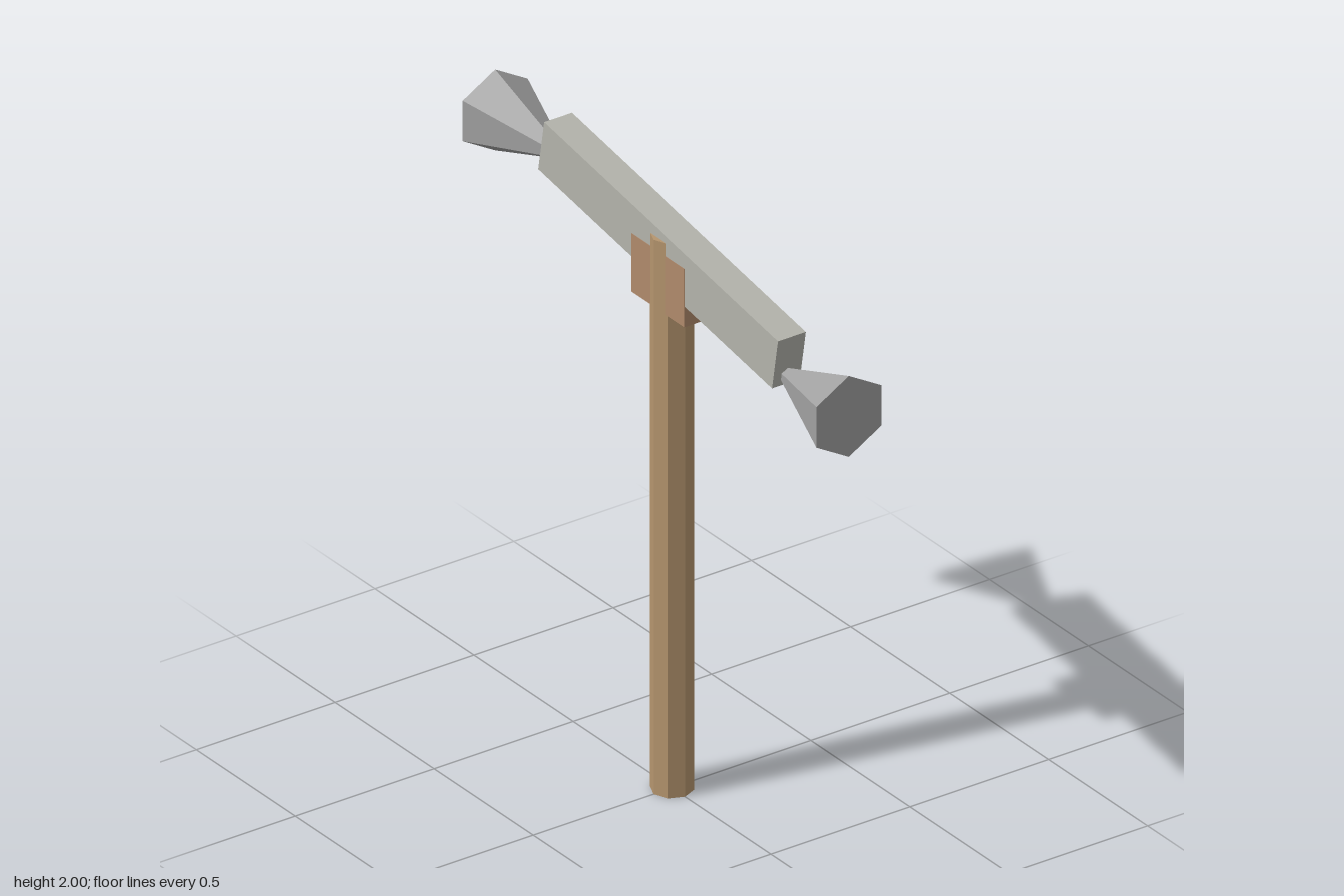
import * as THREE from 'three';

const paint = (color) => new THREE.MeshStandardMaterial({ color, flatShading: true });

export function createModel() {
  const model = new THREE.Group();
  const add = (name, geometry, material, y = 0, z = 0) => {
    const mesh = new THREE.Mesh(geometry, material);
    mesh.name = name;
    mesh.position.set(0, y, z);
    model.add(mesh);
    return mesh;
  };

  // Octagonal wooden shaft
  const shaftHeight = 1.85;
  add('handle', new THREE.CylinderGeometry(0.067, 0.067, shaftHeight, 8), paint(0xb5956e), shaftHeight / 2);

  // Block binding the head to the shaft, a hair proud of the bar
  add('collar', new THREE.BoxGeometry(0.102, 0.195, 0.27), paint(0xb08a6c), 1.71);

  // Tilted bar, lower at the front
  const bar = add('headBar', new THREE.BoxGeometry(0.1, 0.173, 1.2), paint(0xb4b4ac), 1.793);
  bar.rotation.x = THREE.MathUtils.degToRad(10);

  // Hexagonal cones with their tips sunk into the bar ends
  const coneMaterial = paint(0xa0a0a0);
  const coneLength = 0.38;
  for (const [name, side, y] of [['frontCone', 1, 1.635], ['backCone', -1, 1.867]]) {
    const cone = new THREE.ConeGeometry(0.135, coneLength, 6);
    cone.rotateX(-side * Math.PI / 2);
    add(name, cone, coneMaterial, y, side * (0.893 - coneLength / 2));
  }

  return model;
}
